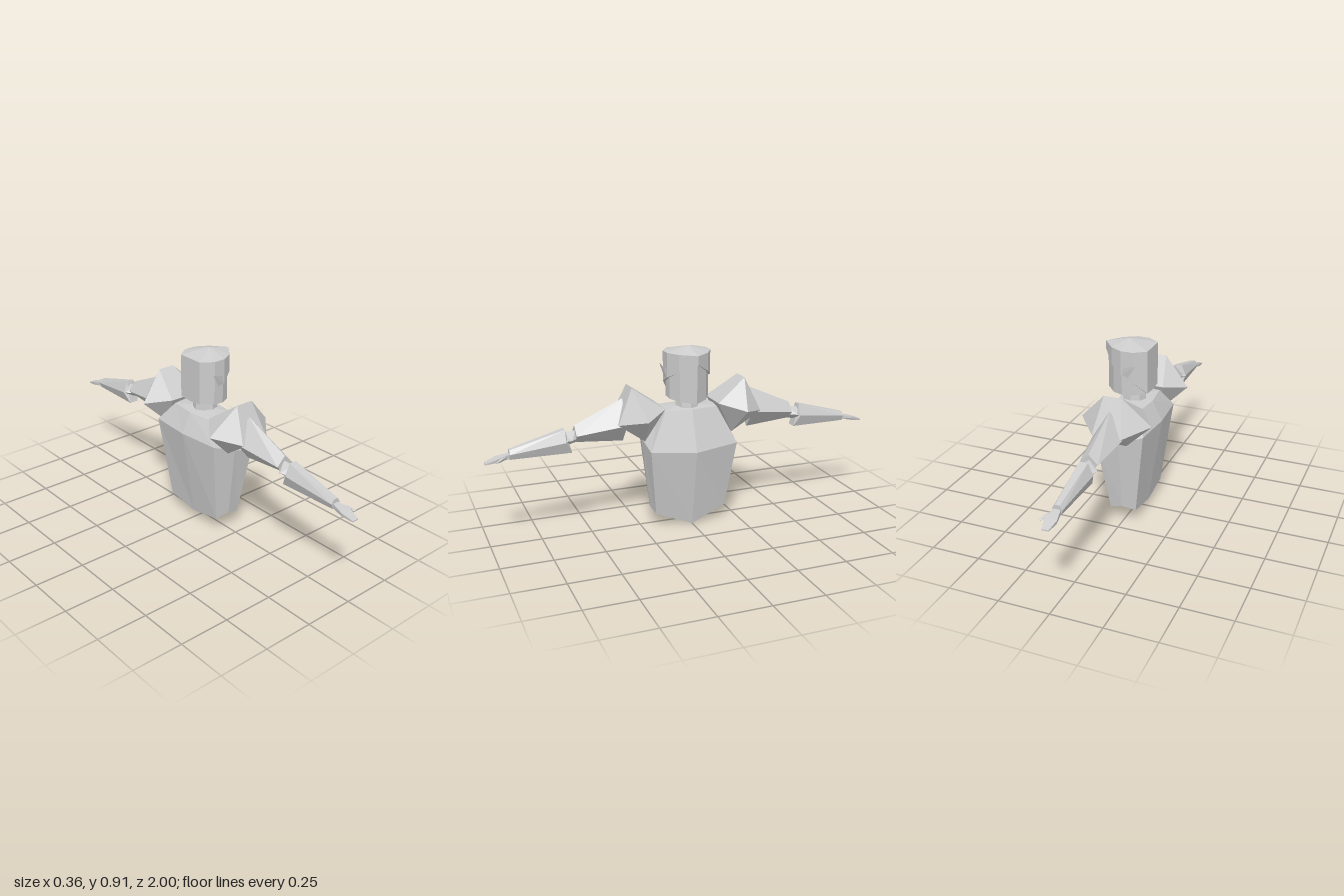
import * as THREE from 'three';
import { ConvexGeometry } from 'three/addons/geometries/ConvexGeometry.js';

const grey = new THREE.MeshStandardMaterial({ color: 0xcccccc });
grey.name = 'plain grey';

function addMesh(parent, name, geometry) {
  const mesh = new THREE.Mesh(geometry, grey);
  mesh.name = name;
  parent.add(mesh);
}

// Faceted solid around a few corner points
function solid(parent, name, points) {
  addMesh(parent, name, new ConvexGeometry(points.map((p) => new THREE.Vector3(...p))));
}

// Completes a half outline (front centre, +z side, back centre) by mirroring z
function ring(half) {
  const other = half.filter((p) => p[2] > 0).reverse().map(([x, y, z]) => [x, y, -z]);
  return [...half, ...other];
}

// Skins rings listed from top to bottom and closes both ends with fans
function loft(parent, name, top, rings, bottom) {
  const pos = [];
  const tri = (...pts) => pts.forEach((p) => pos.push(...p));
  const n = rings[0].length;
  const last = rings[rings.length - 1];
  for (let i = 0; i < n; i++) {
    const j = (i + 1) % n;
    tri(top, rings[0][j], rings[0][i]);
    for (let k = 0; k + 1 < rings.length; k++) {
      const a = rings[k], b = rings[k + 1];
      tri(a[i], a[j], b[i]);
      tri(a[j], b[j], b[i]);
    }
    tri(bottom, last[i], last[j]);
  }
  const g = new THREE.BufferGeometry();
  g.setAttribute('position', new THREE.Float32BufferAttribute(pos, 3));
  g.computeVertexNormals();
  addMesh(parent, name, g);
}

// Diamond cross-section of a limb: half width, top, middle and bottom heights
const diamond = (z, w, top, mid, low) => [[0, top, z], [w, mid, z], [0, low, z], [-w, mid, z]];

function buildTorso(g) {
  loft(g, 'torso', [0, 0.615, 0], [
    ring([[0.085, 0.6, 0], [0.07, 0.6, 0.135], [0, 0.6, 0.145], [-0.07, 0.6, 0.135], [-0.085, 0.6, 0]]),
    ring([[0.15, 0.397, 0], [0.12, 0.415, 0.225], [0, 0.455, 0.235], [-0.118, 0.5, 0.215], [-0.135, 0.5, 0]]),
    ring([[0.085, 0, 0], [0.065, 0.07, 0.185], [0, 0.09, 0.195], [-0.065, 0.07, 0.175], [-0.065, 0.04, 0]]),
  ], [0, 0.09, 0]);

  const neck = new THREE.CylinderGeometry(0.05, 0.062, 0.1, 8).toNonIndexed();
  neck.computeVertexNormals();
  neck.translate(0.01, 0.645, 0);
  addMesh(g, 'neck', neck);
}

function buildHead(g) {
  // x and z of the half outline, from face centre to back of head
  const outline = [[0.16, 0], [0.1, 0.075], [0.037, 0.112], [-0.024, 0.112], [-0.083, 0.07], [-0.083, 0]];
  const section = (s, heights) => ring(outline.map(([x, z], i) =>
    [0.035 + (x - 0.035) * s, heights[i], z * s]));

  loft(g, 'face', [0.035, 0.85, 0], [
    section(0.9, [0.85, 0.85, 0.85, 0.85, 0.85, 0.85]),
    section(0.9, [0.643, 0.646, 0.652, 0.656, 0.66, 0.66]),
  ], [0.035, 0.655, 0]);

  // Hair sweeps down from the forehead to the nape
  const hairline = [0.838, 0.79, 0.76, 0.73, 0.665, 0.66];
  loft(g, 'hair', [0.037, 0.91, 0], [
    section(1, [0.88, 0.88, 0.88, 0.88, 0.88, 0.88]),
    section(1, hairline),
    section(0.88, hairline),
  ], [0.03, 0.75, 0]);

  for (const s of [1, -1]) {
    solid(g, 'ear', [
      [-0.043, 0.818, 0.124], [0.02, 0.8, 0.118], [0.03, 0.762, 0.114],
      [0, 0.75, 0.112], [0.01, 0.785, 0.098], [0.012, 0.762, 0.098],
    ].map(([x, y, z]) => [x, y, z * s]));
  }
}

function buildArm(g, s) {
  const arm = new THREE.Group();
  arm.name = s > 0 ? 'rightArm' : 'leftArm';
  const part = (name, pts) => solid(arm, name, pts.map(([x, y, z]) => [x, y, z * s]));
  const pair = (x, y, z) => [[x, y, z], [-x, y, z]];

  part('shoulder', [
    ...pair(0.045, 0.725, 0.295), ...pair(0.178, 0.585, 0.255), ...pair(0.085, 0.615, 0.14),
    ...pair(0.075, 0.555, 0.372), ...pair(0.04, 0.45, 0.23),
  ]);
  part('upperArm', [...diamond(0.33, 0.078, 0.668, 0.55, 0.455), ...diamond(0.57, 0.045, 0.56, 0.515, 0.475)]);

  // Elbow: two points of a bow tie meeting in the joint
  part('elbow', [...diamond(0.565, 0.03, 0.535, 0.5, 0.475), ...pair(0.055, 0.5, 0.595),
    ...diamond(0.625, 0.03, 0.53, 0.49, 0.46)]);
  part('forearm', [
    ...pair(0.02, 0.547, 0.62), ...pair(0.045, 0.49, 0.62), ...pair(0.025, 0.432, 0.59),
    ...pair(0.012, 0.476, 0.885), ...pair(0.025, 0.456, 0.885), ...pair(0.015, 0.43, 0.885),
  ]);
  part('hand', [
    ...pair(0.015, 0.458, 0.88), ...pair(0.015, 0.437, 0.88), ...pair(0.028, 0.443, 0.945),
    ...pair(0.026, 0.426, 0.945), ...pair(0.016, 0.424, 1), ...pair(0.016, 0.418, 1),
  ]);
  part('thumb', [
    [0.015, 0.452, 0.895], [0.015, 0.438, 0.895], [0.02, 0.445, 0.925],
    [0.042, 0.443, 0.925], [0.04, 0.432, 0.93], [0.054, 0.432, 0.955], [0.046, 0.43, 0.957],
  ]);
  g.add(arm);
}

export function createModel() {
  const model = new THREE.Group();
  model.name = 'figureBust';
  buildTorso(model);
  buildHead(model);
  for (const s of [1, -1]) buildArm(model, s);
  return model;
}
